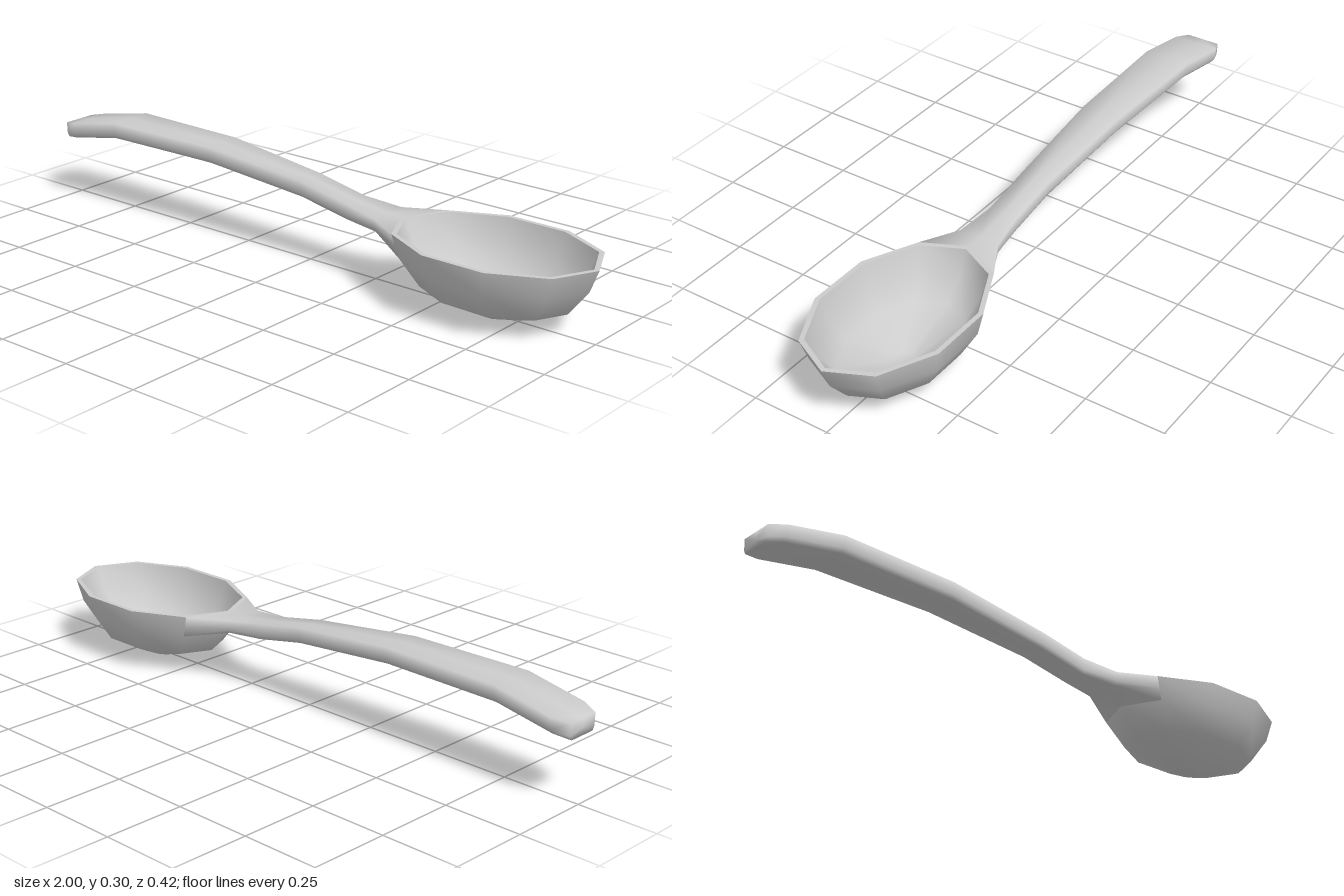
import * as THREE from 'three';

const material = new THREE.MeshStandardMaterial({ color: 0xcccccc });

// Skin between equal-length rings of [x, y, z], optionally closing either end
function loft(name, rings, capStart = false, capEnd = false) {
  const n = rings[0].length;
  const points = rings.flat();
  const index = [];
  for (let r = 0; r < rings.length - 1; r++) {
    for (let k = 0; k < n; k++) {
      const a = r * n + k, b = r * n + (k + 1) % n;
      index.push(a, b, a + n, b, b + n, a + n);
    }
  }
  const cap = (r, flip) => {
    const centre = [0, 1, 2].map(i => rings[r].reduce((s, p) => s + p[i], 0) / n);
    const c = points.push(centre) - 1;
    for (let k = 0; k < n; k++) {
      const a = r * n + k, b = r * n + (k + 1) % n;
      if (flip) index.push(b, a, c);
      else index.push(a, b, c);
    }
  };
  if (capStart) cap(0, true);
  if (capEnd) cap(rings.length - 1, false);
  const geometry = new THREE.BufferGeometry();
  geometry.setAttribute('position', new THREE.Float32BufferAttribute(points.flat(), 3));
  geometry.setIndex(index);
  geometry.computeVertexNormals();
  const mesh = new THREE.Mesh(geometry, material);
  mesh.name = name;
  return mesh;
}

// Ten-sided oval ring of the bowl
function oval([y, rx, rz]) {
  return Array.from({ length: 10 }, (_, k) => {
    const t = k * Math.PI / 5;
    return [0.67 + rx * Math.cos(t), y, rz * Math.sin(t)];
  });
}

// Handle cross-section: flat top, upright sides, narrower underside
function section([x, top, bottom, w]) {
  const mid = bottom + 0.013;
  return [
    [x, top, -w], [x, top, 0], [x, top, w], [x, mid, 0.97 * w],
    [x, bottom, 0.84 * w], [x, bottom, 0], [x, bottom, -0.84 * w], [x, mid, -0.97 * w],
  ];
}

export function createModel() {
  const group = new THREE.Group();
  group.name = 'spoon';

  // Bowl: outside runs rim to base, inside runs base to rim
  const outer = [[0.213, 0.33, 0.222], [0.142, 0.302, 0.207], [0.063, 0.238, 0.16], [0, 0.045, 0.034]].map(oval);
  const inner = [[0.016, 0.045, 0.034], [0.075, 0.222, 0.147], [0.147, 0.283, 0.19], [0.213, 0.314, 0.207]].map(oval);
  group.add(loft('bowlOutside', outer, false, true));
  group.add(loft('bowlInside', inner, true, false));
  group.add(loft('bowlRim', [inner[3], outer[0]]));

  // Handle: stations of x, top, bottom, half width
  const stations = [
    [-1, 0.25, 0.2, 0.055],
    [-0.95, 0.26, 0.21, 0.075],
    [-0.76, 0.297, 0.245, 0.075],
    [-0.36, 0.297, 0.245, 0.064],
    [0, 0.26, 0.21, 0.048],
    [0.17, 0.228, 0.178, 0.047],
    [0.29, 0.214, 0.172, 0.066],
  ].map(section);

  // The neck flares out to meet the back corners of the bowl
  const [rim, wall] = outer;
  const between = k => rim[k].map((v, i) => (v + wall[k][i]) / 2);
  stations.push([rim[6], rim[5], rim[4], between(4), wall[4], wall[5], wall[6], between(6)]);
  group.add(loft('handle', stations, true, false));

  return group;
}
